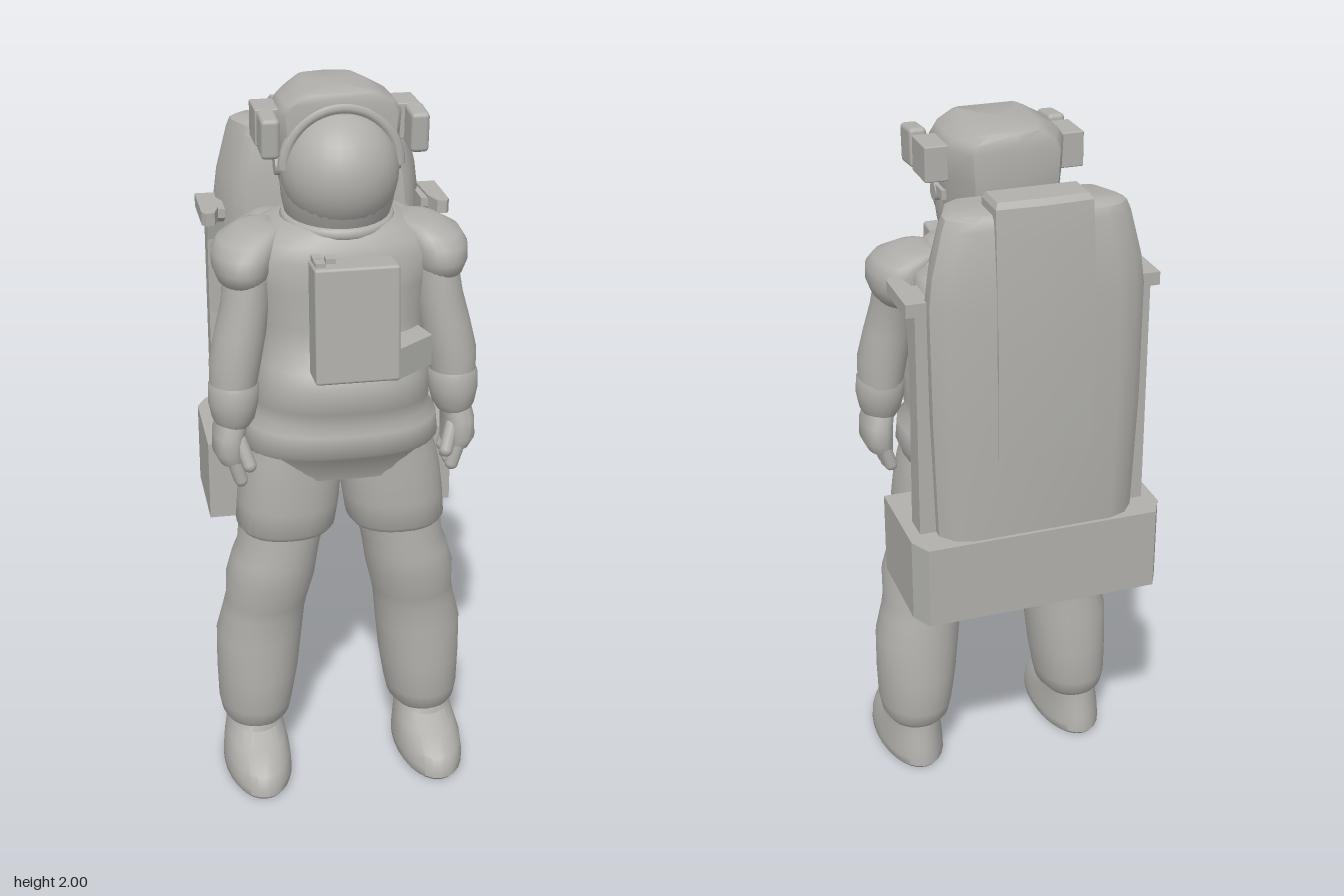
import * as THREE from 'three';
import { toCreasedNormals } from 'three/addons/utils/BufferGeometryUtils.js';
import { RoundedBoxGeometry } from 'three/addons/geometries/RoundedBoxGeometry.js';

const suit = new THREE.MeshStandardMaterial({ color: 0xb0afab });
suit.name = 'suitGrey';

// Unit superellipse outline in x,z
function outline(n = 2, count = 28) {
  return Array.from({ length: count }, (_, i) => {
    const a = (i / count) * Math.PI * 2, c = Math.cos(a), s = Math.sin(a);
    return [Math.sign(c) * Math.abs(c) ** (2 / n), Math.sign(s) * Math.abs(s) ** (2 / n)];
  });
}

// Skin over rising rows of [y, centreX, centreZ, radiusX, radiusZ]
function loft(rows, section = outline(), side = 1, crease = 0.75) {
  const n = section.length, pos = [], idx = [];
  for (const [y, cx, cz, rx, rz] of rows)
    for (const [x, z] of section) pos.push(side * cx + x * rx, y, cz + z * rz);
  for (let r = 0; r < rows.length - 1; r++)
    for (let i = 0; i < n; i++) {
      const a = r * n + i, b = r * n + (i + 1) % n;
      idx.push(a, a + n, b, b, a + n, b + n);
    }
  const top = rows[rows.length - 1], base = (rows.length - 1) * n, c = rows.length * n;
  pos.push(side * rows[0][1], rows[0][0], rows[0][2], side * top[1], top[0], top[2]);
  for (let i = 0; i < n; i++) {
    const j = (i + 1) % n;
    idx.push(c, i, j, c + 1, base + j, base + i);
  }
  const g = new THREE.BufferGeometry();
  g.setAttribute('position', new THREE.Float32BufferAttribute(pos, 3));
  g.setIndex(idx);
  return toCreasedNormals(g, crease);
}

// Flat outline of [x, z] points, extruded down from the given height
function slab(points, topY, depth) {
  const shape = new THREE.Shape(points.map(p => new THREE.Vector2(...p)));
  return new THREE.ExtrudeGeometry(shape, { depth, bevelEnabled: false }).rotateX(Math.PI / 2).translate(0, topY, 0);
}

export function createModel() {
  const model = new THREE.Group();
  const add = (name, geometry, x = 0, y = 0, z = 0) => {
    const m = new THREE.Mesh(geometry, suit);
    m.name = name;
    m.position.set(x, y, z);
    model.add(m);
    return m;
  };

  // Torso with belly fold and hem, upper back joining the pack
  add('torso', loft([
    [0.96, 0, 0.105, 0.255, 0.135], [1.03, 0, 0.09, 0.262, 0.175],
    [1.05, 0, 0.09, 0.272, 0.2], [1.11, 0, 0.09, 0.266, 0.2], [1.135, 0, 0.09, 0.242, 0.187],
    [1.18, 0, 0.09, 0.245, 0.208], [1.25, 0, 0.09, 0.24, 0.218], [1.29, 0, 0.078, 0.232, 0.208],
    [1.33, 0, 0.062, 0.228, 0.192], [1.4, 0, 0.052, 0.235, 0.192], [1.5, 0, 0.045, 0.25, 0.2],
    [1.58, 0, 0.04, 0.268, 0.198], [1.62, 0, 0.042, 0.235, 0.185], [1.645, 0, 0.045, 0.19, 0.165],
    [1.665, 0, 0.05, 0.14, 0.14],
  ], outline(2.5, 32), 1, 1.1));
  add('upperBack', loft([
    [1.15, 0, -0.07, 0.21, 0.07], [1.25, 0, -0.07, 0.225, 0.09], [1.45, 0, -0.07, 0.24, 0.1],
    [1.57, 0, -0.065, 0.262, 0.1], [1.615, 0, -0.06, 0.245, 0.095], [1.635, 0, -0.06, 0.2, 0.075],
  ], outline(3.5), 1, 1.1));

  // Helmet shell, visor, brim and neck ring
  const helmetSection = [[1, 0.25], [0.99, 0.8], [0.9, 1], [-0.9, 1], [-0.99, 0.8], [-1, 0.25],
    [-0.99, -0.25], [-0.72, -0.92], [0, -1.04], [0.72, -0.92], [0.99, -0.25]];
  add('helmetShell', loft([
    [1.69, 0, 0.02, 0.13, 0.105], [1.74, 0, 0.005, 0.145, 0.12], [1.79, 0, -0.002, 0.151, 0.132],
    [1.87, 0, -0.008, 0.157, 0.138], [1.945, 0, -0.005, 0.162, 0.138], [1.97, 0, -0.005, 0.145, 0.136],
    [1.995, 0, -0.003, 0.1, 0.132], [2.0, 0, 0, 0.085, 0.125],
  ], helmetSection, 1, 0.9));
  add('visor', new THREE.SphereGeometry(0.155, 32, 20).scale(1, 1.04, 1), 0, 1.79, 0.095);
  add('helmetBase', loft([
    [1.635, 0, 0.05, 0.125, 0.14], [1.67, 0, 0.055, 0.14, 0.153], [1.71, 0, 0.062, 0.149, 0.165],
    [1.75, 0, 0.068, 0.153, 0.174], [1.79, 0, 0.07, 0.154, 0.178],
  ], outline(2, 32), 1, 1));
  add('visorBrim', new THREE.TorusGeometry(0.152, 0.016, 8, 24, Math.PI), 0, 1.808, 0.122);
  add('neckRing', new THREE.TorusGeometry(0.135, 0.018, 8, 32).scale(1, 1.08, 1).rotateX(Math.PI / 2 + 0.08), 0, 1.66, 0.055);

  for (const s of [1, -1]) {
    // Helmet lamps
    add('lampHousing', new RoundedBoxGeometry(0.065, 0.095, 0.115, 2, 0.004), s * 0.185, 1.905, 0.017);
    add('lampStem', new THREE.CylinderGeometry(0.012, 0.012, 0.05, 10).rotateX(Math.PI / 2), s * 0.192, 1.905, 0.085);
    const lamp = add('lamp', new RoundedBoxGeometry(0.048, 0.105, 0.095, 3, 0.012), s * 0.193, 1.905, 0.14);
    lamp.rotation.x = 0.08;
    add('visorPivot', new THREE.CylinderGeometry(0.025, 0.025, 0.025, 14).rotateZ(Math.PI / 2), s * 0.155, 1.8, 0.06);
    add('visorLever', new THREE.BoxGeometry(0.015, 0.025, 0.07), s * 0.157, 1.81, 0.025);

    // Shorts leg, padded trouser leg and boot
    add('shorts', loft([
      [0.775, 0.157, 0.105, 0.128, 0.125], [0.79, 0.157, 0.105, 0.139, 0.136], [0.86, 0.149, 0.105, 0.142, 0.137],
      [0.94, 0.141, 0.105, 0.14, 0.138], [1.0, 0.134, 0.1, 0.134, 0.14], [1.05, 0.125, 0.1, 0.125, 0.14],
    ], outline(2.3), s));
    add('leg', loft([
      [0.13, 0.255, 0.08, 0.078, 0.1], [0.16, 0.251, 0.08, 0.1, 0.125], [0.2, 0.25, 0.08, 0.108, 0.135],
      [0.3, 0.243, 0.083, 0.118, 0.133], [0.42, 0.236, 0.085, 0.124, 0.127], [0.5, 0.222, 0.09, 0.118, 0.12],
      [0.54, 0.214, 0.095, 0.117, 0.122], [0.62, 0.203, 0.105, 0.126, 0.13], [0.68, 0.19, 0.105, 0.122, 0.128],
      [0.72, 0.178, 0.105, 0.117, 0.124], [0.82, 0.16, 0.1, 0.125, 0.125],
    ], outline(2.1), s, 1));
    add('boot', loft([
      [0, 0.258, 0.152, 0.092, 0.195], [0.01, 0.258, 0.152, 0.098, 0.204], [0.03, 0.258, 0.152, 0.097, 0.202],
      [0.065, 0.258, 0.146, 0.094, 0.19], [0.1, 0.257, 0.115, 0.086, 0.15], [0.13, 0.256, 0.085, 0.08, 0.115],
      [0.17, 0.255, 0.08, 0.078, 0.105],
    ], outline(2.05), s));

    // Shoulder cap, sleeve and glove cuff
    add('shoulderCap', loft([
      [1.495, 0.262, 0.1, 0.05, 0.08], [1.515, 0.264, 0.1, 0.066, 0.11], [1.55, 0.264, 0.1, 0.079, 0.126],
      [1.59, 0.258, 0.095, 0.085, 0.122], [1.62, 0.243, 0.085, 0.082, 0.11], [1.645, 0.215, 0.07, 0.06, 0.085],
      [1.65, 0.2, 0.065, 0.04, 0.06],
    ], outline(2.1), s, 1));
    add('sleeve', loft([
      [1.23, 0.302, 0.16, 0.063, 0.078], [1.3, 0.295, 0.158, 0.07, 0.08], [1.38, 0.278, 0.15, 0.069, 0.078],
      [1.46, 0.262, 0.14, 0.064, 0.08], [1.53, 0.255, 0.12, 0.062, 0.09],
    ], outline(), s));
    add('gloveCuff', loft([
      [1.125, 0.305, 0.168, 0.046, 0.058], [1.145, 0.304, 0.168, 0.058, 0.07], [1.19, 0.303, 0.165, 0.068, 0.08],
      [1.235, 0.301, 0.163, 0.068, 0.08], [1.25, 0.301, 0.162, 0.06, 0.074],
    ], outline(), s, 1));

    // Hand with curled fingers and thumb
    add('palm', loft([
      [1.02, 0.312, 0.165, 0.036, 0.068], [1.05, 0.32, 0.165, 0.043, 0.08],
      [1.1, 0.318, 0.165, 0.044, 0.073], [1.15, 0.306, 0.167, 0.043, 0.055],
    ], outline(2.4), s));
    for (let i = 0; i < 4; i++) {
      const finger = add('finger', new THREE.CapsuleGeometry(0.019, 0.065, 4, 10), s * 0.303, 1.005 + (i === 0 ? 0.008 : 0), 0.11 + i * 0.036);
      finger.rotation.z = -s * 0.3;
    }
    const thumb = add('thumb', new THREE.CapsuleGeometry(0.019, 0.07, 4, 10), s * 0.282, 1.055, 0.225);
    thumb.rotation.set(-0.4, 0, -s * 0.3);

    // Side bar with curved bracket, tapered armrest and hip block on the backpack
    const bar = new THREE.Shape([
      [-0.27, 0.95], [-0.195, 0.95], [-0.195, 1.02], [-0.205, 1.3], [-0.2, 1.52], [-0.185, 1.575], [-0.14, 1.6], [-0.14, 1.625], [-0.27, 1.625],
    ].map(p => new THREE.Vector2(...p)));
    add('sideBar', new THREE.ExtrudeGeometry(bar, { depth: 0.045, bevelEnabled: false }).rotateY(-Math.PI / 2), s * 0.298 + 0.0225);
    add('armrest', slab([[0.345, -0.275], [0.345, -0.1], [0.335, -0.083], [0.31, -0.09], [0.295, -0.14], [0.29, -0.275]]
      .map(([x, z]) => [s * x, z]), 1.632, 0.036));
    add('hipBlock', new THREE.BoxGeometry(0.08, 0.23, 0.1), s * 0.23, 1.085, -0.16);
  }

  // Chest control box, knobs and side wedge
  const chest = add('chestBox', new RoundedBoxGeometry(0.222, 0.31, 0.105, 2, 0.008), 0, 1.452, 0.308);
  chest.rotation.x = -0.06;
  for (const [x, z] of [[-0.092, 0.275], [-0.092, 0.315], [-0.06, 0.285]])
    add('knob', new THREE.BoxGeometry(0.026, 0.02, 0.034), x, 1.61, z);
  add('chestWedge', slab([[0.09, 0.15], [0.19, 0.15], [0.22, 0.255], [0.1, 0.35]], 1.375, 0.085));

  // Backpack body, widest towards the back, with a raised back panel
  const packSection = [[1, -0.1], [0.86, 0.85], [0.78, 1], [-0.78, 1], [-0.86, 0.85], [-1, -0.1],
    [-1, -0.45], [-0.88, -0.78], [-0.7, -0.92], [0.7, -0.92], [0.88, -0.78], [1, -0.45]];
  add('backpack', loft([
    [0.95, 0, -0.24, 0.275, 0.122], [1.3, 0, -0.245, 0.287, 0.122], [1.62, 0, -0.242, 0.29, 0.12],
    [1.7, 0, -0.242, 0.28, 0.113], [1.82, 0, -0.242, 0.25, 0.097], [1.845, 0, -0.242, 0.24, 0.088],
    [1.855, 0, -0.242, 0.222, 0.074],
  ], packSection, 1, 0.6));
  add('backPanel', loft([
    [1.2, 0, -0.3, 0.13, 0.068], [1.5, 0, -0.3, 0.13, 0.07], [1.8, 0, -0.29, 0.13, 0.062],
    [1.875, 0, -0.285, 0.128, 0.057], [1.89, 0, -0.282, 0.12, 0.047],
  ], [[1, 1], [-1, 1], [-1, -0.9], [0, -1], [1, -0.9]], 1, 0.4));

  // Broad base with chamfered back corners, wrapping forward at both sides
  add('packBase', slab([
    [-0.355, -0.305], [-0.325, -0.363], [0.325, -0.363], [0.355, -0.305], [0.355, -0.035], [0.27, -0.035],
    [0.25, -0.14], [-0.25, -0.14], [-0.27, -0.035], [-0.355, -0.035],
  ], 0.965, 0.235));
  return model;
}
